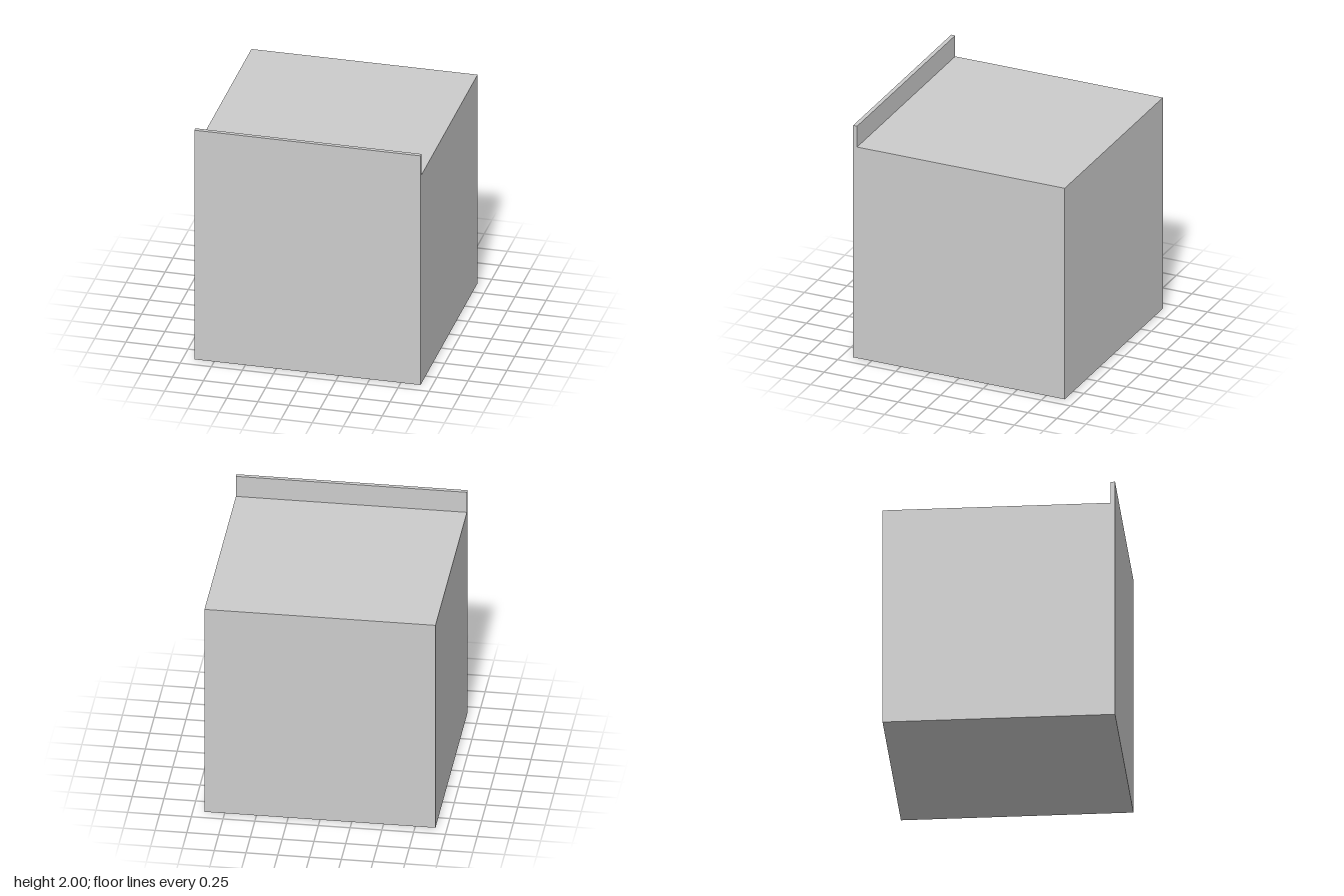
import * as THREE from 'three';

const HALF = 0.909;  // half of width and depth
const BODY = 1.82;   // height of the block
const TOP = 2;       // height of the front lip
const LIP = 0.034;   // thickness of the lip

export function createModel() {
  const group = new THREE.Group();
  const material = new THREE.MeshStandardMaterial({ color: 0xcccccc, flatShading: true });

  // Side profile (z, y): a block whose front face rises into a thin lip
  const profile = new THREE.Shape([
    [-HALF, 0], [HALF, 0], [HALF, TOP], [HALF - LIP, TOP], [HALF - LIP, BODY], [-HALF, BODY],
  ].map(([z, y]) => new THREE.Vector2(z, y)));

  // Extruded across the width, then turned so the profile lies along z
  const geometry = new THREE.ExtrudeGeometry(profile, { depth: 2 * HALF, bevelEnabled: false });
  geometry.translate(0, 0, -HALF).rotateY(-Math.PI / 2);

  const block = new THREE.Mesh(geometry, material);
  block.name = 'blockWithFrontLip';
  group.add(block);
  return group;
}
